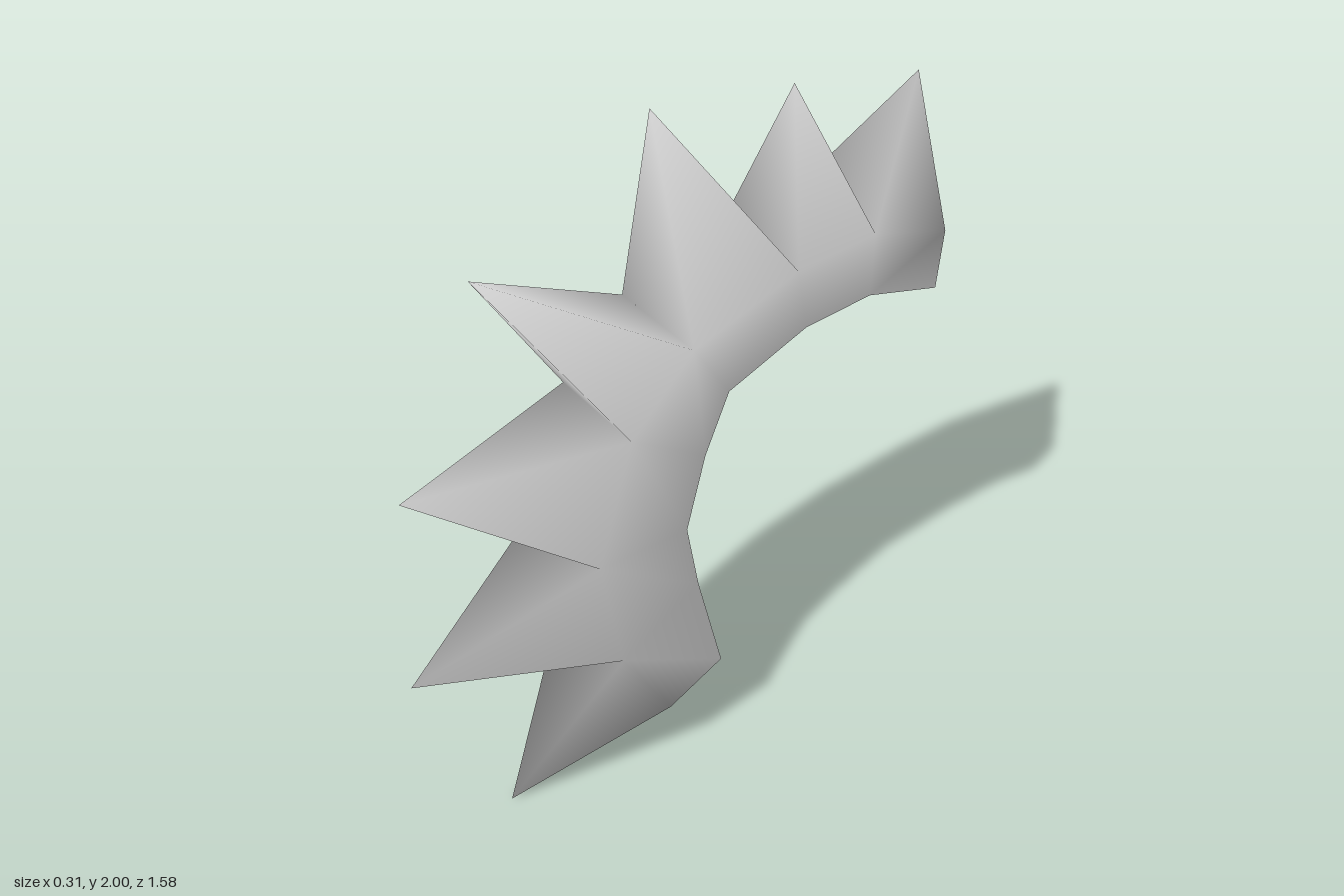
import * as THREE from 'three';

// Side profile as [z, y], from the lower end to the upper back end
const inner = [[-0.09, 0.33], [-0.005, 0.66], [0.035, 0.87], [-0.02, 1.09],
  [-0.09, 1.26], [-0.33, 1.36], [-0.54, 1.38], [-0.775, 1.32]];
const valleys = [[0.085, 0.24], [0.24, 0.51], [0.305, 0.87], [0.205, 1.23],
  [0.02, 1.425], [-0.295, 1.535], [-0.54, 1.56], [-0.787, 1.49]];
const tips = [[0.53, 0], [0.79, 0.6], [0.76, 1.19], [0.53, 1.72],
  [0.04, 2], [-0.38, 1.95], [-0.785, 1.88]];
const halfWidth = 0.155;

export function createModel() {
  const positions = [];
  const indices = [];
  const add = (x, [z, y]) => positions.push(x, y, z) / 3 - 1;
  const pair = (p) => ({ l: add(halfWidth, p), r: add(-halfWidth, p) });

  const a = inner.map(pair);
  const v = valleys.map(pair);
  const t = tips.map((p) => add(0, p));

  for (let i = 0; i < t.length; i++) {
    const j = i + 1;
    // Side walls of the open channel
    indices.push(a[i].l, a[j].l, v[j].l, a[i].l, v[j].l, v[i].l);
    indices.push(a[i].r, v[j].r, a[j].r, a[i].r, v[i].r, v[j].r);
    // Four-sided spike
    indices.push(v[i].l, v[j].l, t[i], v[j].r, v[i].r, t[i]);
    indices.push(v[i].r, v[i].l, t[i], v[j].l, v[j].r, t[i]);
  }

  const geometry = new THREE.BufferGeometry();
  geometry.setAttribute('position', new THREE.Float32BufferAttribute(positions, 3));
  geometry.setIndex(indices);
  geometry.computeVertexNormals();

  const lightGrey = new THREE.MeshStandardMaterial({ color: 0xcccccc, side: THREE.DoubleSide });
  lightGrey.name = 'lightGrey';

  const crest = new THREE.Mesh(geometry, lightGrey);
  crest.name = 'spikedCrest';
  const group = new THREE.Group();
  group.name = 'crest';
  group.add(crest);
  return group;
}
